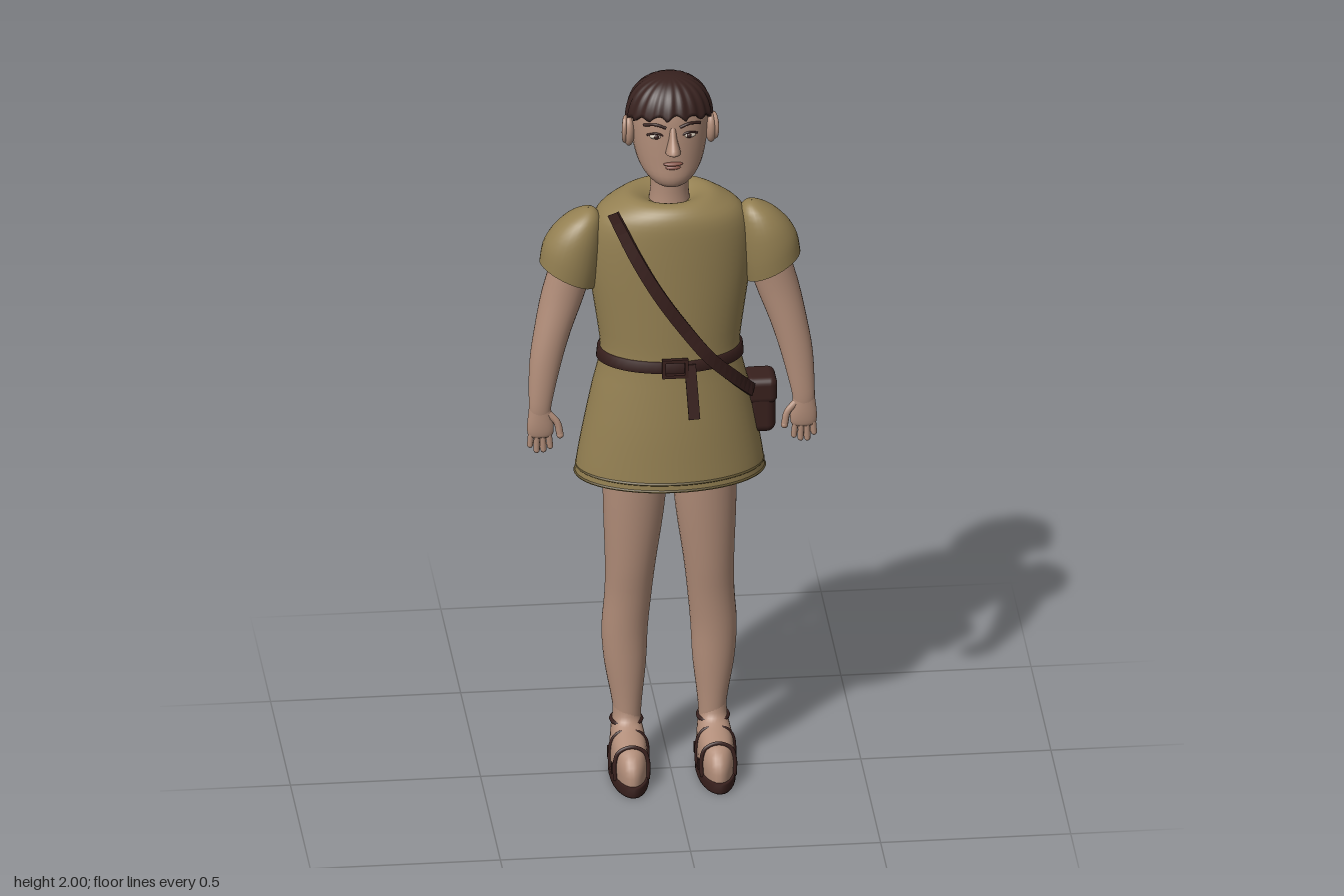
import * as THREE from 'three';
import { RoundedBoxGeometry } from 'three/addons/geometries/RoundedBoxGeometry.js';

const mat = (name, color, side = THREE.FrontSide) => {
  const m = new THREE.MeshStandardMaterial({ color, side });
  m.name = name;
  return m;
};
const M = {
  tunic: mat('olive cloth', 0x948052, THREE.DoubleSide),
  trim: mat('dark olive trim', 0x5f5230),
  skin: mat('skin', 0xb08c78),
  hair: mat('dark brown hair', 0x38221f, THREE.DoubleSide),
  leather: mat('dark leather', 0x38201d),
  lips: mat('lips', 0x875549),
  eye: mat('eye white', 0xcfc4b4),
};
const V = (x, y, z) => new THREE.Vector3(x, y, z);

function add(parent, name, geo, material, pos = [0, 0, 0], scale = [1, 1, 1]) {
  const mesh = new THREE.Mesh(geo, material);
  mesh.name = name;
  mesh.position.set(...pos);
  mesh.scale.set(...scale);
  parent.add(mesh);
  return mesh;
}

// Surface from closed rings listed bottom to top
function rings(rows) {
  const n = rows[0].length, index = [];
  for (let i = 0; i < rows.length - 1; i++)
    for (let j = 0; j < n; j++) {
      const a = i * n + j, c = i * n + (j + 1) % n;
      index.push(a, a + n, c, c, a + n, c + n);
    }
  const g = new THREE.BufferGeometry().setFromPoints(rows.flat());
  g.setIndex(index);
  g.computeVertexNormals();
  return g;
}

// Smooth loft of ellipses [cx, cy, cz, rx, rz, tilt]; sub = steps between sections
function loft(sections, { s = 1, sub = 3, seg = 28 } = {}) {
  const rows = [], at = (i) => sections[Math.max(0, Math.min(sections.length - 1, i))];
  for (let i = 0; i < (sections.length - 1) * sub + 1; i++) {
    const k = Math.floor(i / sub), t = (i % sub) / sub;
    const v = [0, 1, 2, 3, 4, 5].map((c) => {
      const [p, q, r, w] = [-1, 0, 1, 2].map((d) => at(k + d)[c] ?? 0);
      return q + 0.5 * t * (r - p + t * (2 * p - 5 * q + 4 * r - w + t * (3 * (q - r) + w - p)));
    });
    const row = [];
    for (let j = 0; j < seg; j++) {
      const a = (j / seg) * Math.PI * 2, dx = Math.cos(a) * Math.max(v[3], 0.0005);
      row.push(V(s * v[0] + dx, v[1] + s * v[5] * dx, v[2] + Math.sin(a) * Math.max(v[4], 0.0005)));
    }
    rows.push(row);
  }
  return rings(rows);
}

// Flat strap lying on an upright body
function ribbon(points, width, thick) {
  const curve = new THREE.CatmullRomCurve3(points), rows = [];
  for (let i = 0; i <= 28; i++) {
    const p = curve.getPoint(i / 28), t = curve.getTangent(i / 28);
    const n = V(p.x / 0.04, 0, (p.z + 0.02) / 0.016).normalize();
    const w = n.clone().cross(t).normalize();
    rows.push([[1, 1], [1, -1], [-1, -1], [-1, 1]].map(([u, v]) =>
      p.clone().addScaledVector(w, u * width / 2).addScaledVector(n, v * thick / 2)));
  }
  const g = rings(rows).toNonIndexed();
  g.computeVertexNormals();
  return g;
}
const tube = (pts, r, n = 16) =>
  new THREE.TubeGeometry(new THREE.CatmullRomCurve3(pts.map((p) => V(...p))), n, r, 8);
const ball = () => new THREE.SphereGeometry(1, 20, 14);

// Hair cap: uneven rim, grooved locks converging on the crown
function hairGeometry() {
  const seg = 120, rows = [];
  for (let i = -1; i <= 14; i++) {
    const row = [], t = Math.max(i, 0) / 14;
    for (let j = 0; j < seg; j++) {
      const a = (j / seg) * Math.PI * 2, f = Math.sin(a);
      const jag = 0.012 * Math.abs(Math.sin(a * 7 + 0.6)) * (0.4 + Math.max(f, 0));
      const rim = 1.832 + 0.048 * THREE.MathUtils.smoothstep(f, -0.35, 0.1) + 0.03 * Math.max(f, 0) + jag;
      const y = rim + (2 - rim) * Math.sin(t * Math.PI / 2);
      const h = Math.min(1, Math.abs(y - 1.87) / 0.13);
      let r = y > 1.87 ? Math.pow(1 - Math.pow(h, 2.4), 1 / 2.4) : 1 - 0.25 * h * h;
      r *= 1 + 0.022 * Math.sin(a * 20 + 2 * t);
      if (i < 0) r *= 0.9;
      row.push(V(Math.cos(a) * r * 0.114, y, -0.037 + f * r * 0.106));
    }
    rows.push(row);
  }
  return rings(rows);
}

function buildHead(root) {
  const head = new THREE.Group();
  head.name = 'head';
  root.add(head);
  add(head, 'neck', loft([[0, 1.62, -0.035, 0.058, 0.055], [0, 1.68, -0.034, 0.05, 0.048],
    [0, 1.78, -0.034, 0.052, 0.055]]), M.skin);
  add(head, 'skull', loft([[0, 1.712, 0.015, 0.001, 0.001], [0, 1.715, 0.015, 0.035, 0.035],
    [0, 1.74, 0, 0.066, 0.064], [0, 1.78, -0.022, 0.088, 0.085], [0, 1.85, -0.037, 0.101, 0.098],
    [0, 1.92, -0.042, 0.102, 0.097], [0, 1.96, -0.042, 0.082, 0.078],
    [0, 1.985, -0.04, 0.042, 0.04], [0, 1.99, -0.04, 0.001, 0.001]]), M.skin);
  add(head, 'hair', hairGeometry(), M.hair);
  add(head, 'nose', loft([[0, 1.818, 0.06, 0.001, 0.001], [0, 1.822, 0.066, 0.019, 0.024],
    [0, 1.832, 0.068, 0.018, 0.032], [0, 1.86, 0.056, 0.011, 0.022], [0, 1.89, 0.048, 0.009, 0.012]]), M.skin);
  add(head, 'upperLip', ball(), M.lips, [0, 1.788, 0.061], [0.026, 0.006, 0.009]);
  add(head, 'lowerLip', ball(), M.lips, [0, 1.777, 0.059], [0.021, 0.006, 0.009]);
  for (const s of [1, -1]) {
    add(head, 'eyeWhite', ball(), M.eye, [s * 0.043, 1.865, 0.047], [0.018, 0.008, 0.01]);
    add(head, 'iris', ball(), M.hair, [s * 0.043, 1.865, 0.054], [0.007, 0.007, 0.005]);
    add(head, 'eyelid', tube([[s * 0.022, 1.867, 0.054], [s * 0.043, 1.875, 0.054], [s * 0.066, 1.866, 0.04]], 0.003), M.hair);
    add(head, 'eyebrow', tube([[s * 0.018, 1.891, 0.057], [s * 0.045, 1.899, 0.051], [s * 0.074, 1.89, 0.031]], 0.004), M.hair);
    add(head, 'ear', ball(), M.skin, [s * 0.108, 1.85, -0.022], [0.016, 0.042, 0.024]);
    add(head, 'earRim', new THREE.TorusGeometry(0.024, 0.006, 8, 20), M.skin,
      [s * 0.117, 1.855, -0.024], [0.9, 1.3, 1]).rotation.y = Math.PI / 2 + s * 0.25;
  }
}

function buildTunic(root) {
  add(root, 'tunic', loft([[0, 0.862, -0.024, 0.25, 0.152], [0, 0.92, -0.024, 0.243, 0.149],
    [0, 1.02, -0.022, 0.225, 0.142], [0, 1.12, -0.02, 0.205, 0.132], [0, 1.22, -0.018, 0.184, 0.122],
    [0, 1.32, -0.022, 0.194, 0.126], [0, 1.45, -0.028, 0.212, 0.132], [0, 1.56, -0.03, 0.212, 0.133],
    [0, 1.62, -0.03, 0.19, 0.129], [0, 1.652, -0.032, 0.145, 0.117], [0, 1.666, -0.034, 0.11, 0.095],
    [0, 1.66, -0.035, 0.078, 0.068], [0, 1.645, -0.035, 0.05, 0.047]], { seg: 48 }), M.tunic);
  // Hem stitching bands
  for (const [y, r] of [[0.866, 0.253], [0.886, 0.2495]])
    add(root, 'hemBand', loft([[0, y - 0.004, -0.024, r - 0.004, 0.151], [0, y, -0.024, r, 0.155],
      [0, y + 0.004, -0.024, r - 0.004, 0.151]], { seg: 48, sub: 2 }), M.trim);
  for (const s of [1, -1])
    add(root, 'sleeve', loft([[0.27, 1.445, -0.02, 0.073, 0.072, 0.5], [0.26, 1.5, -0.02, 0.074, 0.075, 0.45],
      [0.245, 1.56, -0.02, 0.066, 0.07, 0.2], [0.23, 1.605, -0.02, 0.048, 0.053, 0],
      [0.216, 1.628, -0.02, 0.02, 0.025, 0], [0.215, 1.633, -0.02, 0.001, 0.001, 0]], { s }), M.tunic);
}

function buildBelt(root) {
  add(root, 'belt', loft([[0, 1.2, -0.018, 0.184, 0.12], [0, 1.201, -0.018, 0.194, 0.129],
    [0, 1.231, -0.018, 0.191, 0.128], [0, 1.232, -0.018, 0.18, 0.12]], { seg: 48, sub: 1 }), M.leather);
  const bar = (name, w, h, x, y) => add(root, name, new THREE.BoxGeometry(w, h, 0.012), M.leather, [x, y, 0.115]);
  for (const s of [1, -1]) {
    bar('buckleSide', 0.009, 0.05, s * 0.03, 1.218);
    bar('buckleRail', 0.068, 0.009, 0, 1.218 + s * 0.022);
  }
  const tail = add(root, 'beltTail', new THREE.BoxGeometry(0.03, 0.15, 0.006), M.leather, [0.044, 1.152, 0.124]);
  tail.rotation.set(-0.16, 0, 0.06);
  add(root, 'shoulderStrap', ribbon([V(-0.158, 1.652, 0.062), V(-0.1, 1.535, 0.104), V(-0.04, 1.43, 0.12),
    V(0.03, 1.325, 0.118), V(0.09, 1.245, 0.112), V(0.16, 1.165, 0.072), V(0.213, 1.1, 0.02)], 0.034, 0.008), M.leather);
  add(root, 'pouch', new RoundedBoxGeometry(0.078, 0.155, 0.094, 4, 0.024), M.leather, [0.238, 1.042, -0.036]);
  add(root, 'pouchFlap', new RoundedBoxGeometry(0.086, 0.075, 0.099, 3, 0.02), M.leather, [0.238, 1.086, -0.036]);
}

function buildArm(root, s) {
  const arm = new THREE.Group();
  arm.name = s > 0 ? 'leftArm' : 'rightArm';
  root.add(arm);
  add(arm, 'armSkin', loft([[0.347, 1.065, 0.03, 0.028, 0.018], [0.345, 1.1, 0.028, 0.031, 0.021],
    [0.331, 1.2, 0.01, 0.042, 0.034], [0.31, 1.29, -0.005, 0.049, 0.043],
    [0.278, 1.4, -0.02, 0.058, 0.05], [0.245, 1.52, -0.02, 0.055, 0.05]], { s }), M.skin);
  add(arm, 'palm', loft([[0.346, 0.998, 0.033, 0.001, 0.001], [0.346, 1, 0.033, 0.03, 0.012],
    [0.346, 1.03, 0.033, 0.035, 0.016], [0.347, 1.07, 0.03, 0.03, 0.018], [0.347, 1.09, 0.029, 0.028, 0.018]], { s }), M.skin);
  [0.03, 0.046, 0.045, 0.036].forEach((len, i) => {
    const f = add(arm, 'finger', new THREE.CapsuleGeometry(0.0082, len, 4, 8), M.skin,
      [s * (0.372 - i * 0.0165), 1.006 - len / 2, 0.034]);
    f.rotation.z = s * (0.08 - i * 0.06);
  });
  add(arm, 'thumb', tube([[s * 0.325, 1.065, 0.034], [s * 0.303, 1.04, 0.038], [s * 0.295, 1.005, 0.042]], 0.0095), M.skin);
  add(arm, 'thumbTip', ball(), M.skin, [s * 0.295, 1.005, 0.042], [0.0095, 0.0095, 0.0095]);
}

function buildLeg(root, s) {
  const leg = new THREE.Group();
  leg.name = s > 0 ? 'leftLeg' : 'rightLeg';
  root.add(leg);
  add(leg, 'legSkin', loft([[0.112, 0.1, -0.028, 0.036, 0.038], [0.112, 0.18, -0.028, 0.038, 0.038],
    [0.116, 0.3, -0.036, 0.055, 0.049], [0.117, 0.4, -0.04, 0.061, 0.055], [0.109, 0.5, -0.034, 0.062, 0.056],
    [0.103, 0.6, -0.028, 0.067, 0.062], [0.095, 0.75, -0.025, 0.08, 0.071],
    [0.09, 0.9, -0.025, 0.087, 0.078], [0.09, 1.1, -0.025, 0.085, 0.08]], { s }), M.skin);
  // Foot and sandal share a local origin under the ankle
  const foot = new THREE.Group();
  foot.name = 'foot';
  foot.position.x = s * 0.114;
  leg.add(foot);
  add(foot, 'footSkin', loft([[0, 0.025, 0.032, 0.047, 0.135], [0, 0.065, 0.031, 0.049, 0.131],
    [0, 0.1, 0.015, 0.046, 0.115], [0, 0.124, -0.014, 0.041, 0.08], [0, 0.145, -0.026, 0.037, 0.044],
    [0, 0.18, -0.028, 0.036, 0.036]]), M.skin);
  add(foot, 'sole', loft([[0, 0, 0.033, 0.001, 0.001], [0, 0, 0.033, 0.05, 0.14], [0, 0.006, 0.033, 0.052, 0.144],
    [0, 0.026, 0.033, 0.052, 0.144], [0, 0.03, 0.033, 0.05, 0.14], [0, 0.03, 0.033, 0.001, 0.001]], { sub: 1 }), M.leather);
  const arch = (half, dz) => [...half.map(([x, y]) => [-x, y, dz(y)]),
    ...half.slice(0, -1).reverse().map(([x, y]) => [x, y, dz(y)])];
  add(foot, 'toeStrap', tube(arch([[0.043, 0.025], [0.044, 0.07], [0.034, 0.1], [0, 0.114]], (y) => 0.112 - y * 0.1), 0.0055, 32), M.leather);
  add(foot, 'instepStrap', tube(arch([[0.049, 0.025], [0.05, 0.07], [0.045, 0.103], [0.028, 0.125], [0, 0.128]], () => 0.035), 0.005, 32), M.leather);
  add(foot, 'ankleStrap', new THREE.TorusGeometry(0.039, 0.006, 8, 28), M.leather,
    [0, 0.137, -0.028], [1, 1.12, 1]).rotation.x = Math.PI / 2;
  for (const e of [1, -1]) {
    add(foot, 'heelStrap', tube([[e * 0.027, 0.025, -0.085], [e * 0.029, 0.08, -0.083], [e * 0.034, 0.135, -0.05]], 0.005), M.leather);
    for (const z of [0.07, -0.03])
      add(foot, 'soleTab', new THREE.BoxGeometry(0.008, 0.03, 0.012), M.leather, [e * 0.046, 0.042, z]);
  }
}

export function createModel() {
  const root = new THREE.Group();
  root.name = 'tunicFigure';
  buildHead(root);
  buildTunic(root);
  buildBelt(root);
  for (const s of [1, -1]) {
    buildArm(root, s);
    buildLeg(root, s);
  }
  return root;
}
